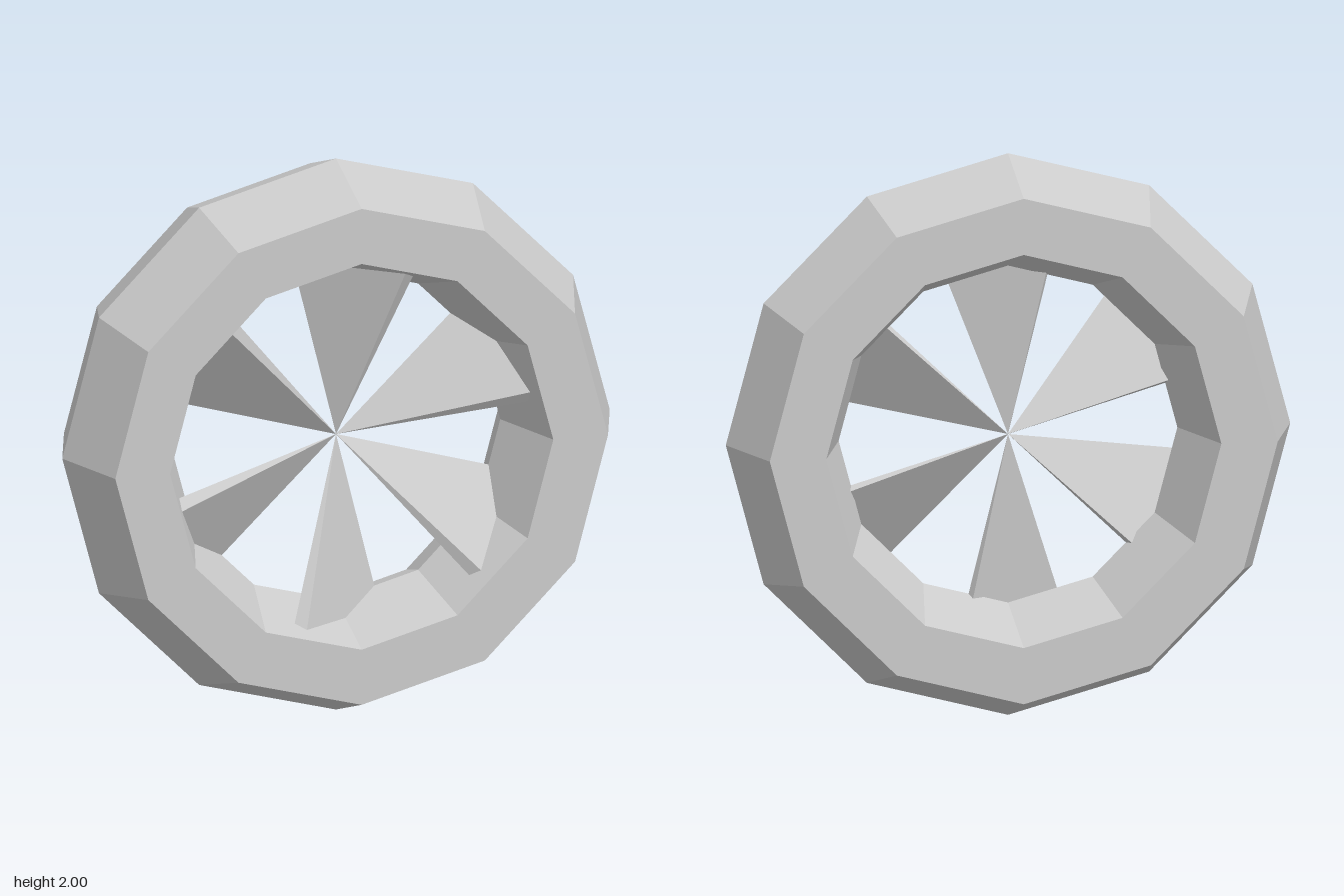
import * as THREE from 'three';

const material = new THREE.MeshStandardMaterial({ color: 0xcccccc, flatShading: true });

// Twelve-sided rim with a hexagonal cross-section, ridged inside and out
function createRim() {
  const h = 0.295;
  const profile = [
    [0.9, -h], [1, 0], [0.9, h], [0.7, h], [0.6, 0], [0.7, -h], [0.9, -h],
  ].map(([r, y]) => new THREE.Vector2(r, y));
  const geometry = new THREE.LatheGeometry(profile, 12);
  geometry.rotateX(Math.PI / 2);
  const rim = new THREE.Mesh(geometry, material);
  rim.name = 'rim';
  return rim;
}

// Tilted thin pyramid: its apex is at the hub, its base is buried in the rim
function createBladeGeometry() {
  const scale = 0.7 / 0.6;
  const [a, c, d, e] = [
    [-0.149, 0], [0.171, 0.22], [0.212, 0.2], [-0.135, -0.03],
  ].map(([x, z]) => new THREE.Vector3(x * scale, 0.7, z * scale));
  const hub = new THREE.Vector3();
  const corners = [
    hub, c, a, hub, d, c, hub, e, d, hub, a, e, // sides
    a, c, d, a, d, e, // base
  ];
  const geometry = new THREE.BufferGeometry().setFromPoints(corners);
  geometry.computeVertexNormals();
  return geometry;
}

export function createModel() {
  const wheel = new THREE.Group();
  wheel.name = 'fanWheel';
  wheel.position.y = 1;
  wheel.add(createRim());

  // Six blades around the hub
  const bladeGeometry = createBladeGeometry();
  for (let i = 0; i < 6; i++) {
    const blade = new THREE.Mesh(bladeGeometry, material);
    blade.name = `blade${i + 1}`;
    blade.rotation.z = (i * Math.PI) / 3;
    wheel.add(blade);
  }

  const model = new THREE.Group();
  model.name = 'model';
  model.add(wheel);
  return model;
}
